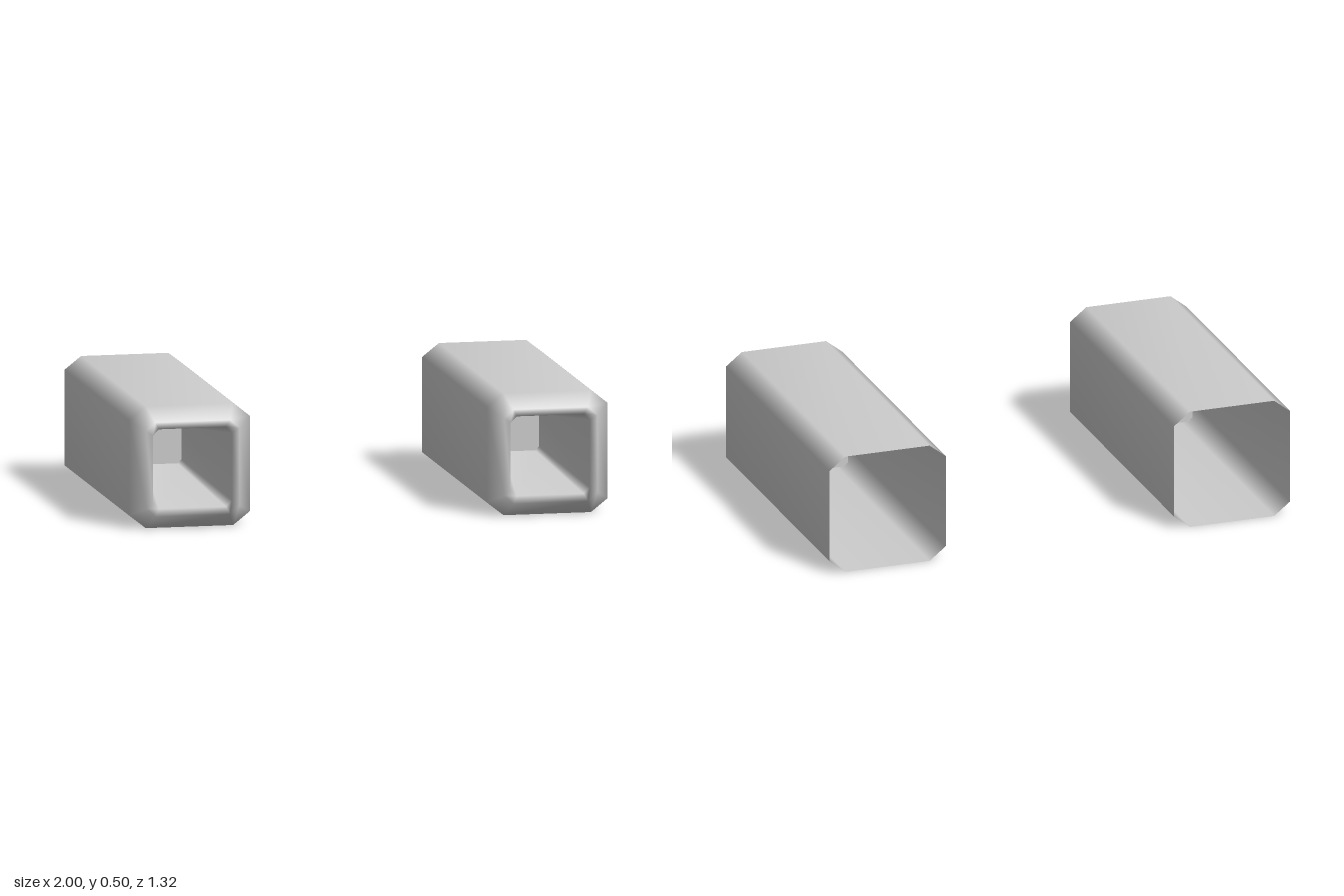
import * as THREE from 'three';

const CENTER_X = 0.7475, CENTER_Y = 0.2525;

// Chamfered square, counter-clockwise seen from the front
function octagon(half, cutX, cutY) {
  const x = half - cutX, y = half - cutY;
  return [[half, -y], [half, y], [x, half], [-x, half],
    [-half, y], [-half, -y], [-x, -half], [x, -half]];
}

// Cross-sections from the open back, over the front lip, down into the bore
const sections = [
  { z: -0.66, ring: octagon(0.2525, 0.07, 0.055) },
  { z: 0.592, ring: octagon(0.2525, 0.07, 0.055) },
  { z: 0.66, ring: octagon(0.195, 0.04, 0.035) },
  { z: 0.65, ring: octagon(0.165, 0.025, 0.025) },
  { z: 0.05, ring: octagon(0.083, 0.016, 0.016) },
];

// Skin the sections with shared vertices so the normals stay smooth
function shellGeometry() {
  const positions = [], index = [], n = 8;
  for (const { z, ring } of sections) {
    for (const [x, y] of ring) positions.push(x, y, z);
  }
  for (let s = 0; s < sections.length - 1; s++) {
    for (let j = 0; j < n; j++) {
      const a = s * n + j, b = s * n + (j + 1) % n;
      index.push(a, b, b + n, a, b + n, a + n);
    }
  }
  const geometry = new THREE.BufferGeometry();
  geometry.setAttribute('position', new THREE.Float32BufferAttribute(positions, 3));
  geometry.setIndex(index);
  geometry.computeVertexNormals();
  return geometry;
}

// Flat end wall of the bore
function boreEndGeometry() {
  const { z, ring } = sections[sections.length - 1];
  const shape = new THREE.Shape(ring.map(([x, y]) => new THREE.Vector2(x, y)));
  return new THREE.ShapeGeometry(shape).translate(0, 0, z);
}

export function createModel() {
  const model = new THREE.Group();
  model.name = 'twinBarrels';
  const material = new THREE.MeshStandardMaterial({ color: 0xcccccc, side: THREE.DoubleSide });
  const shell = shellGeometry();
  const boreEnd = boreEndGeometry();

  // Matching barrels on the left and right
  for (const [side, sign] of [['left', 1], ['right', -1]]) {
    const barrel = new THREE.Group();
    barrel.name = side + 'Barrel';
    const body = new THREE.Mesh(shell, material);
    body.name = side + 'BarrelShell';
    const end = new THREE.Mesh(boreEnd, material);
    end.name = side + 'BoreEnd';
    barrel.add(body, end);
    barrel.position.set(sign * CENTER_X, CENTER_Y, 0);
    model.add(barrel);
  }
  return model;
}
